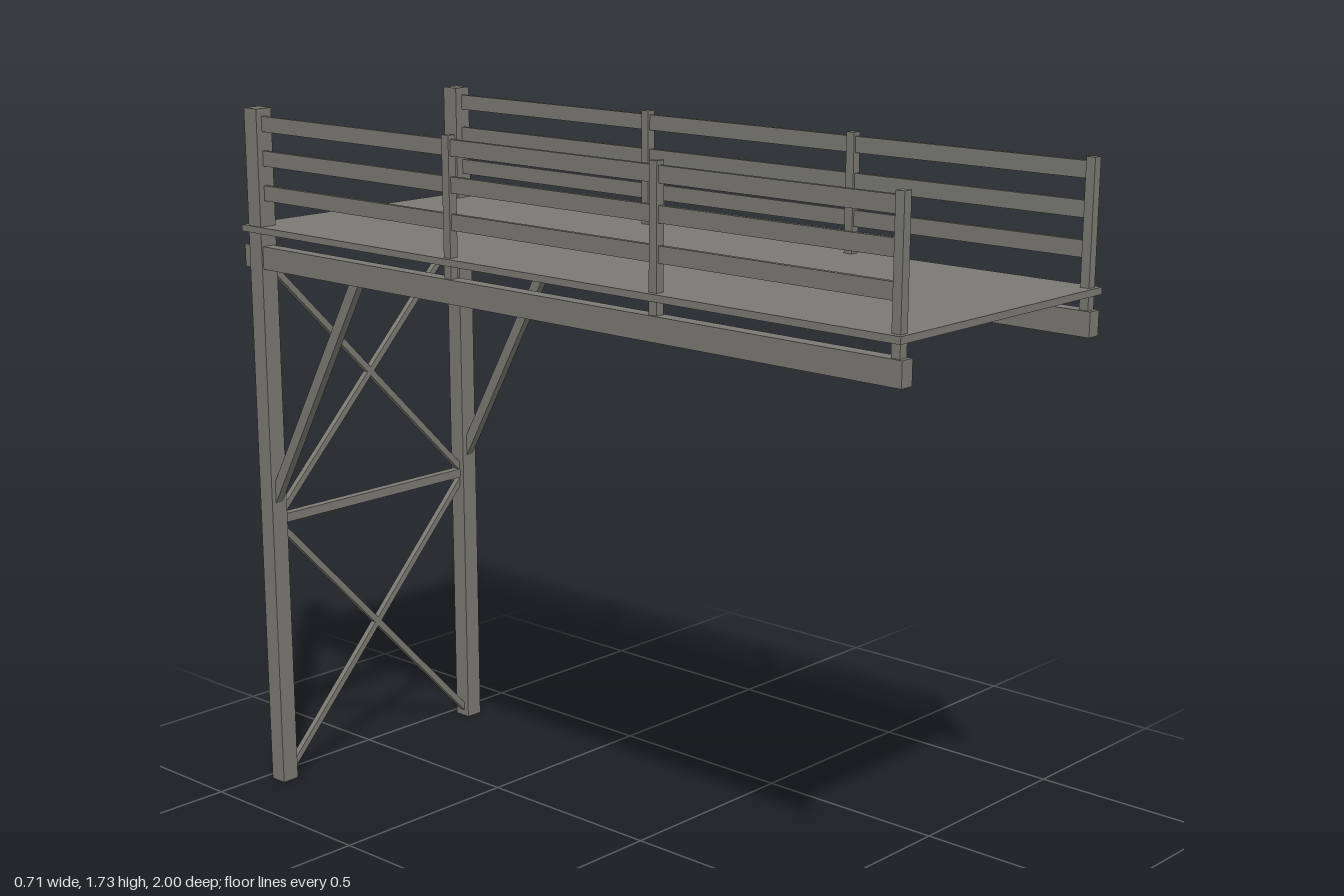
import * as THREE from 'three';

export function createModel() {
  const model = new THREE.Group();
  model.name = 'raisedWalkway';
  const wood = new THREE.MeshStandardMaterial({ color: 0x7b7a73 });
  wood.name = 'weatheredGrey';

  // Box given by its size and centre
  const box = (name, w, h, d, x, y, z) => {
    const mesh = new THREE.Mesh(new THREE.BoxGeometry(w, h, d), wood);
    mesh.name = name;
    mesh.position.set(x, y, z);
    model.add(mesh);
    return mesh;
  };

  // Straight bar between two points, w and d are its cross-section
  const bar = (name, from, to, w, d) => {
    const a = new THREE.Vector3(...from), b = new THREE.Vector3(...to);
    const dir = b.clone().sub(a);
    const mid = a.clone().add(b).multiplyScalar(0.5);
    const mesh = box(name, w, dir.length(), d, mid.x, mid.y, mid.z);
    mesh.quaternion.setFromUnitVectors(new THREE.Vector3(0, 1, 0), dir.normalize());
    return mesh;
  };

  const postZ = -0.954;

  // Walking surface
  box('deck', 0.706, 0.016, 2, 0, 1.437, 0);

  for (const [side, s] of [['left', 1], ['right', -1]]) {
    // Tall support post and the beam resting against it
    box(side + 'Post', 0.046, 1.73, 0.046, s * 0.327, 0.865, postZ);
    box(side + 'Beam', 0.034, 0.056, 2, s * 0.329, 1.369, 0);

    // Knee brace from post to beam
    bar(side + 'KneeBrace', [s * 0.328, 0.742, -0.95], [s * 0.328, 1.366, -0.594], 0.02, 0.028);

    // Railing posts, passing through the deck down to the beam
    for (const z of [0.979, 0.348, -0.279])
      box(side + 'RailPost', 0.022, 0.326, 0.022, s * 0.329, 1.558, z);

    // Three horizontal rails
    for (const y of [1.693, 1.61, 1.526])
      box(side + 'Rail', 0.011, 0.037, 1.92, s * 0.329, y, 0.018);
  }

  // Horizontal tie between the posts
  box('crossTie', 0.62, 0.023, 0.023, 0, 0.698, postZ);

  // Two crossed braces, one above the other
  for (const [low, high] of [[0.015, 0.685], [0.705, 1.352]])
    for (const s of [1, -1])
      bar('crossBrace', [s * 0.316, low, postZ], [-s * 0.316, high, postZ], 0.016, 0.016);

  return model;
}
